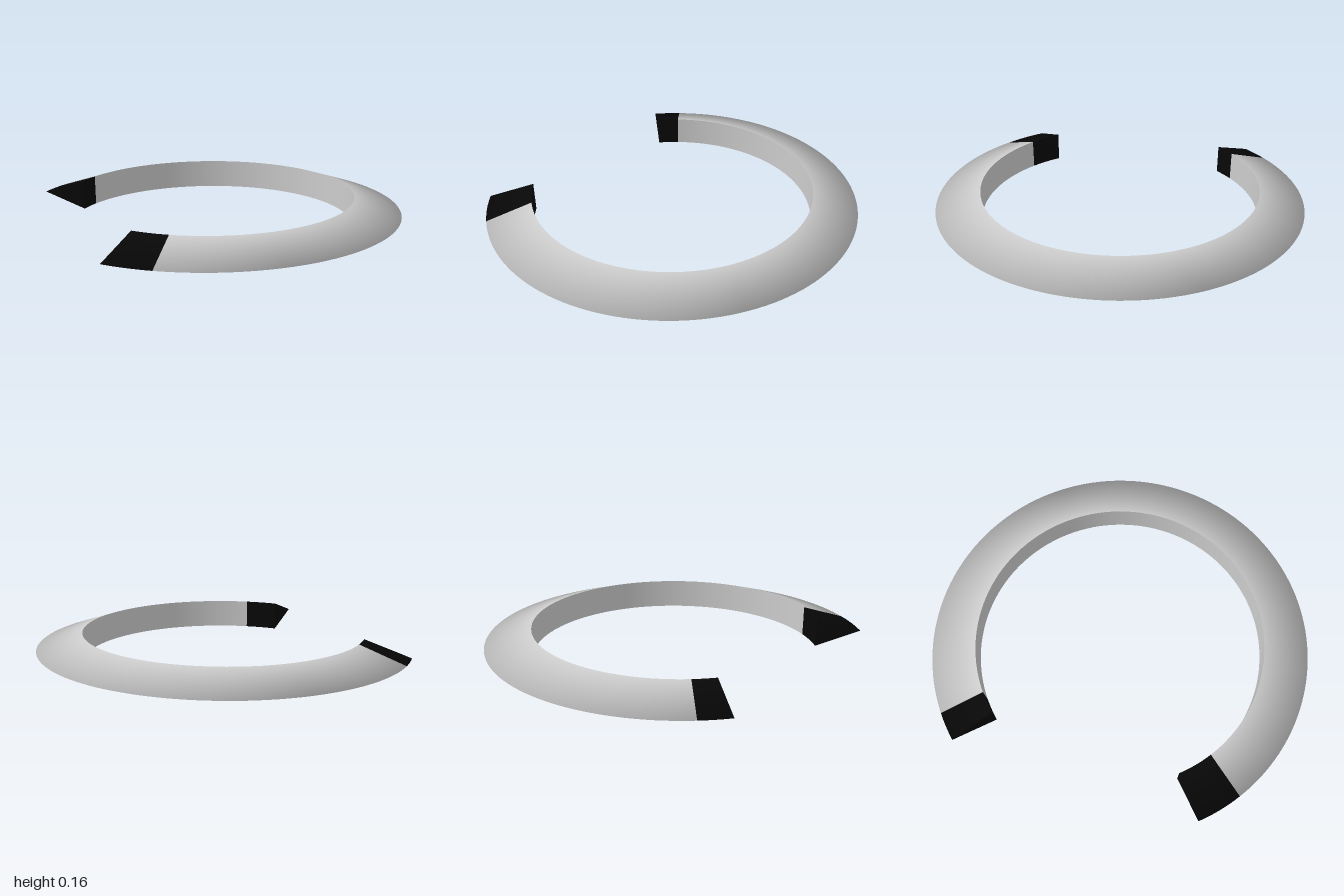
import * as THREE from 'three';

const INNER = 0.757, OUTER = 1, HEIGHT = 0.16;
const rad = THREE.MathUtils.degToRad;

// One stretch of the ring: wedge-shaped outside plus a straight inner wall.
function ringArc(name, fromDeg, toDeg, material) {
  const group = new THREE.Group();
  group.name = name;
  const segments = Math.ceil((toDeg - fromDeg) / 2.5);
  const add = (part, points) => {
    const profile = points.map(([r, y]) => new THREE.Vector2(r, y));
    const geometry = new THREE.LatheGeometry(profile, segments, rad(fromDeg), rad(toDeg - fromDeg));
    const mesh = new THREE.Mesh(geometry, material);
    mesh.name = part;
    group.add(mesh);
  };
  add('outerBevel', [[INNER, 0], [OUTER, HEIGHT / 2], [INNER, HEIGHT]]);
  add('innerWall', [[INNER, HEIGHT], [INNER, 0]]);
  return group;
}

// Flat triangle that closes an open end of the ring.
function endCap(deg, material) {
  const shape = new THREE.Shape();
  shape.moveTo(INNER, 0);
  shape.lineTo(OUTER, HEIGHT / 2);
  shape.lineTo(INNER, HEIGHT);
  const cap = new THREE.Mesh(new THREE.ShapeGeometry(shape), material);
  cap.name = 'endCap';
  cap.rotation.y = rad(deg - 90);
  return cap;
}

export function createModel() {
  const grey = new THREE.MeshStandardMaterial({ color: 0xcccccc, side: THREE.DoubleSide });
  const black = new THREE.MeshStandardMaterial({ color: 0x080808, side: THREE.DoubleSide });

  // Angles run around y from +z towards +x; the gap faces -x.
  const start = 90 - 139, end = 90 + 139;
  const frontTip = 14, backTip = 9;

  const ring = new THREE.Group();
  ring.name = 'openRing';
  ring.add(ringArc('ringBody', start + frontTip, end - backTip, grey));

  const front = ringArc('frontTip', start, start + frontTip, black);
  front.add(endCap(start, black));
  const back = ringArc('backTip', end - backTip, end, black);
  back.add(endCap(end, black));
  ring.add(front, back);

  ring.position.x = -0.123;
  const model = new THREE.Group();
  model.name = 'model';
  model.add(ring);
  return model;
}
